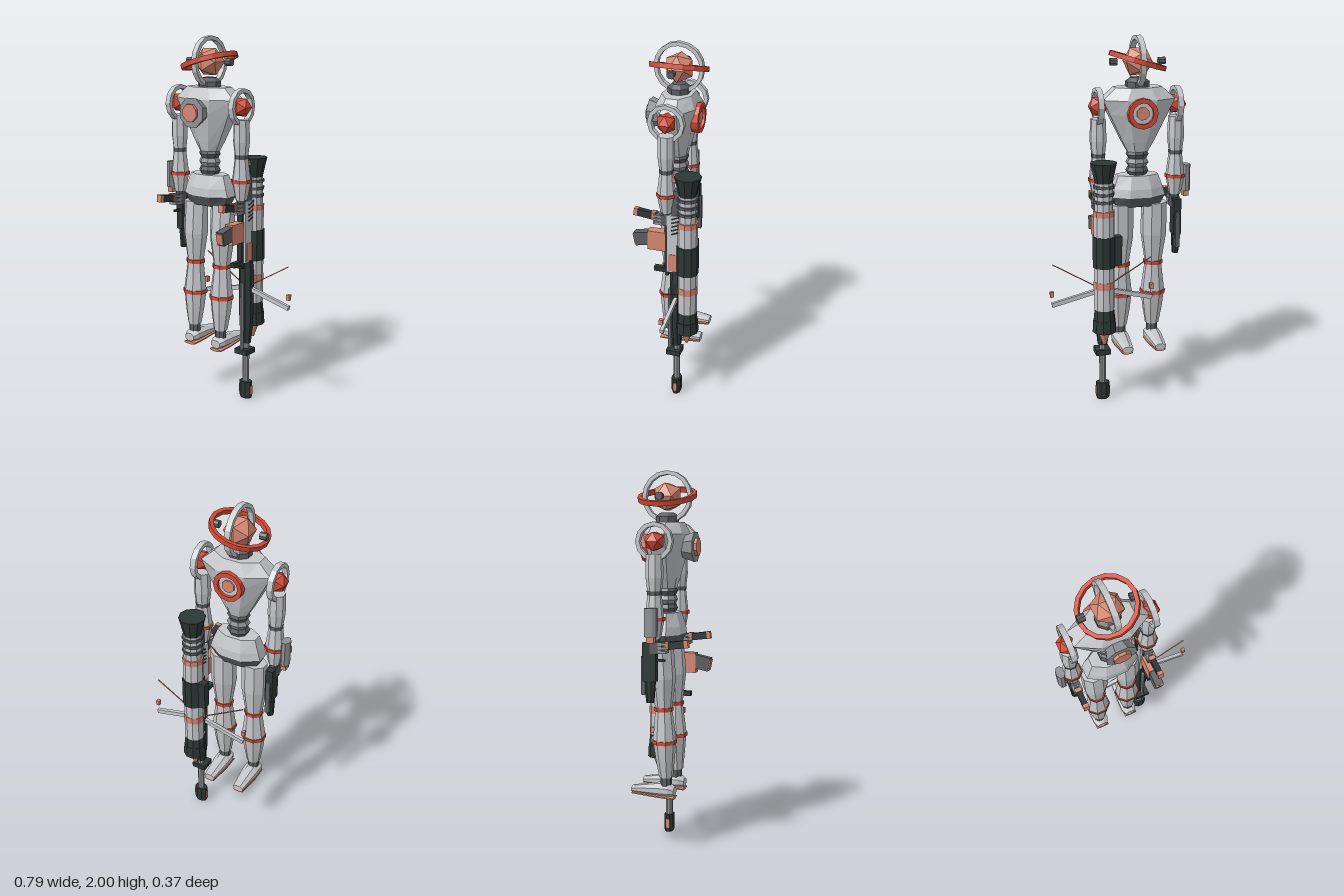
import * as THREE from 'three';

const mat = (name, color) => {
  const m = new THREE.MeshStandardMaterial({ color });
  m.name = name;
  return m;
};

export function createModel() {
  const light = mat('light grey', 0xc5c7cb), mid = mat('mid grey', 0x8f9195), steel = mat('dark grey', 0x5a5d61);
  const dark = mat('gunmetal', 0x2d3735), red = mat('red', 0xd24b36), salmon = mat('salmon', 0xd68770);
  const root = new THREE.Group();

  // Adds a faceted mesh
  function add(name, geo, material, x = 0, y = 0, z = 0, parent = root) {
    const g = geo.index ? geo.toNonIndexed() : geo;
    g.computeVertexNormals();
    const m = new THREE.Mesh(g, material);
    m.name = name;
    m.position.set(x, y, z);
    parent.add(m);
    return m;
  }
  const group = (name, x = 0, y = 0, z = 0) => {
    const g = new THREE.Group();
    g.name = name;
    g.position.set(x, y, z);
    root.add(g);
    return g;
  };
  const box = (w, h, d) => new THREE.BoxGeometry(w, h, d);
  const cyl = (rt, rb, h, n = 8) => new THREE.CylinderGeometry(rt, rb, h, n, 1, false, Math.PI / n);
  const ico = (r) => new THREE.IcosahedronGeometry(r, 0);
  // Flat band around the y axis
  const band = (ro, ri, h, n = 16) => new THREE.LatheGeometry(
    [[ro, -h], [ro, h], [ri, h], [ri, -h], [ro, -h]].map(([r, y]) => new THREE.Vector2(r, y / 2)), n);
  // Octagonal loft through rings of [y, half width, half depth, z offset], y rising
  function loft(rings, n = 8) {
    const k = rings.length - 1, g = new THREE.CylinderGeometry(1, 1, 1, n, k, false, Math.PI / n);
    const p = g.attributes.position, s = 1 / Math.cos(Math.PI / n);
    for (let i = 0; i < p.count; i++) {
      const [y, w, d, o = 0] = rings[Math.round((p.getY(i) + 0.5) * k)];
      p.setXYZ(i, p.getX(i) * w * s, y, p.getZ(i) * d * s + o);
    }
    return g;
  }

  const cx = -0.103;

  // Head: core, two crossing bands and side knobs
  const head = group('head', cx, 1.867, 0);
  add('headCore', ico(0.082), salmon, 0, 0, 0, head);
  add('headArch', band(0.134, 0.113, 0.03).rotateZ(Math.PI / 2), light, 0, 0, 0, head);
  add('headHalo', band(0.155, 0.134, 0.026).rotateZ(0.29), red, 0, 0.003, 0, head);
  for (const s of [-1, 1]) add('headKnob', cyl(0.02, 0.02, 0.037).rotateZ(Math.PI / 2), steel, s * 0.13, 0, 0, head);

  // Neck, torso, waist, pelvis
  add('neck', loft([[1.72, 0.06, 0.055], [1.765, 0.06, 0.055], [1.785, 0.035, 0.035]]), steel, cx);
  add('torso', loft([[1.395, 0.055, 0.045], [1.45, 0.085, 0.06], [1.6, 0.158, 0.095], [1.675, 0.193, 0.105], [1.737, 0.125, 0.078]]), light, cx);
  for (let i = 0; i < 3; i++) {
    const y = 1.38 - i * 0.045;
    add('waistRing', loft([[y - 0.022, 0.045, 0.04], [y, 0.058, 0.05], [y + 0.022, 0.048, 0.042]]), i === 1 ? mid : steel, cx);
  }
  add('pelvis', loft([[1.155, 0.148, 0.088], [1.2, 0.135, 0.085], [1.27, 0.11, 0.062]]), light, cx);
  add('pelvisBase', loft([[1.1, 0.12, 0.06], [1.155, 0.147, 0.087]]), steel, cx);

  // Chest lamp and back vent
  add('chestHousing', cyl(0.083, 0.06, 0.065).rotateX(Math.PI / 2), mid, cx, 1.61, 0.122);
  add('chestLamp', cyl(0.048, 0.048, 0.02).rotateX(Math.PI / 2), salmon, cx, 1.61, 0.16);
  add('backRing', band(0.08, 0.056, 0.04, 12).rotateX(Math.PI / 2), red, cx, 1.61, -0.105);
  add('backPlate', cyl(0.058, 0.058, 0.03).rotateX(Math.PI / 2), light, cx, 1.61, -0.095);
  add('backLamp', cyl(0.035, 0.035, 0.02).rotateX(Math.PI / 2), salmon, cx, 1.61, -0.108);

  // Legs
  for (const x of [-0.2, -0.013]) {
    const leg = group(x < cx ? 'rightLeg' : 'leftLeg', x);
    const part = (n, rings, m) => add(n, loft(rings), m, 0, 0, 0, leg);
    part('thigh', [[0.775, 0.044, 0.042, 0.01], [0.93, 0.066, 0.06, 0.008], [1.11, 0.066, 0.055]], light);
    part('upperBand', [[0.757, 0.05, 0.048, 0.01], [0.777, 0.05, 0.048, 0.01]], red);
    part('knee', [[0.6, 0.062, 0.056, 0.015], [0.76, 0.043, 0.042, 0.01]], light);
    part('lowerBand', [[0.582, 0.066, 0.06, 0.015], [0.602, 0.066, 0.06, 0.015]], red);
    part('shin', [[0.4, 0.036, 0.034, 0.022], [0.5, 0.052, 0.046, 0.018], [0.585, 0.06, 0.055, 0.015]], light);
    part('ankle', [[0.35, 0.03, 0.028, 0.022], [0.4, 0.03, 0.028, 0.022]], steel);
    // Feet are lofted lengthwise, then laid down
    const flat = (n, rings, m) => add(n, loft(rings).rotateX(-Math.PI / 2), m, 0, 0, 0, leg);
    flat('foot', [[-0.07, 0.03, 0.022, 0.325], [-0.04, 0.044, 0.034, 0.331], [0.02, 0.044, 0.034, 0.331], [0.165, 0.03, 0.016, 0.324]], light);
    flat('sole', [[-0.07, 0.037, 0.008, 0.291], [0.02, 0.04, 0.008, 0.297], [0.163, 0.028, 0.008, 0.305]], salmon);
  }

  // Arms
  for (const x of [-0.316, 0.11]) {
    const arm = group(x < cx ? 'rightArm' : 'leftArm', x);
    const part = (n, rings, m) => add(n, loft(rings), m, 0, 0, 0, arm);
    add('shoulderCore', ico(0.055), red, 0, 1.64, 0, arm);
    add('shoulderRing', band(0.098, 0.076, 0.03, 12).rotateZ(Math.PI / 2), light, 0, 1.64, 0, arm);
    part('upperArm', [[1.39, 0.034, 0.034], [1.46, 0.042, 0.042], [1.575, 0.038, 0.04]], light);
    part('elbow', [[1.37, 0.034, 0.034], [1.392, 0.036, 0.036]], steel);
    part('forearm', [[1.15, 0.03, 0.03], [1.25, 0.048, 0.046], [1.37, 0.034, 0.034]], light);
    part('forearmBand', [[1.242, 0.052, 0.05], [1.26, 0.052, 0.05]], red);
    part('wrist', [[1.125, 0.022, 0.022], [1.15, 0.025, 0.025]], steel);
    add('palm', box(0.044, 0.06, 0.06), steel, 0, 1.105, 0.01, arm);
    for (let i = 0; i < 3; i++) add('finger', box(0.05, 0.014, 0.045), mid, 0, 1.125 - i * 0.02, 0.045, arm);
    add('knuckle', box(0.038, 0.04, 0.02), salmon, 0, 1.12, 0.068, arm);
    // Gun grip held in the hand
    add('grip', box(0.03, 0.038, 0.15), dark, 0, 1.118, 0.085, arm).rotation.x = -0.13;
    add('gripCap', box(0.031, 0.04, 0.02), salmon, 0, 1.129, 0.169, arm).rotation.x = -0.13;
  }
  add('forearmPod', loft([[1.165, 0.022, 0.032], [1.31, 0.022, 0.032]]), mid, -0.377, 0, 0);
  add('forearmPodTip', box(0.03, 0.03, 0.04), salmon, -0.375, 1.15, 0);

  // Pistol pointing down from the right hand
  const pistol = group('pistol', -0.316, 0, -0.025);
  add('pistolBody', box(0.042, 0.2, 0.07), dark, 0, 1.03, 0, pistol);
  add('pistolBarrel', loft([[0.82, 0.017, 0.02], [0.95, 0.021, 0.03]]), dark, 0, 0, 0, pistol);
  add('pistolSlide', box(0.025, 0.2, 0.02), steel, 0, 0.96, -0.035, pistol);
  add('triggerGuard', box(0.012, 0.012, 0.05), dark, 0, 1.04, 0.055, pistol);

  // Rifle pointing down from the left hand
  const rifle = group('rifle', 0.105, 0, -0.057);
  const rp = (n, g, m, y, z = 0, x = 0) => add(n, g, m, x, y, z, rifle);
  rp('muzzle', loft([[0, 0.032, 0.022], [0.015, 0.037, 0.026], [0.1, 0.036, 0.026]]), dark, 0);
  for (const s of [-1, 1]) rp('muzzlePort', box(0.006, 0.05, 0.022), salmon, 0.05, 0, s * 0.036);
  rp('barrel', cyl(0.019, 0.019, 0.4), mid, 0.29);
  rp('barrelClamp', box(0.082, 0.03, 0.08), dark, 0.285, 0.012);
  rp('handguard', loft([[0.33, 0.026, 0.024], [0.45, 0.038, 0.032], [0.74, 0.04, 0.036], [0.82, 0.03, 0.036]]), dark, 0);
  rp('gasTube', cyl(0.011, 0.011, 0.4), mid, 0.48, 0.04);
  rp('foregrip', box(0.03, 0.026, 0.085), dark, 0.8, 0.085);
  rp('receiver', box(0.058, 0.34, 0.09), light, 0.97, 0.005);
  rp('receiverPanel', box(0.064, 0.1, 0.07), salmon, 0.86, 0.005);
  rp('receiverRail', box(0.03, 0.36, 0.02), dark, 0.95, 0.055);
  for (let i = 0; i < 5; i++) rp('coolingSlot', box(0.063, 0.008, 0.05), dark, 1.04 + i * 0.022).rotation.x = 0.4;
  rp('stock', box(0.044, 0.16, 0.05), steel, 1.2);
  rp('magazine', box(0.05, 0.11, 0.1), salmon, 0.975, 0.108);
  rp('magazineEnd', box(0.046, 0.075, 0.085), steel, 0.975, 0.192).rotation.x = 0.2;
  rp('magazineTip', box(0.04, 0.06, 0.012), salmon, 0.967, 0.233).rotation.x = 0.2;

  // Unfolded struts on both sides of the rifle
  for (const s of [-1, 1]) {
    rp('strut', box(0.25, 0.024, 0.02), light, 0.613, -0.004, s * 0.158).rotation.z = -s * 0.235;
    rp('strutFoot', box(0.02, 0.03, 0.02), salmon, 0.645, -0.002, s * 0.278);
    rp('strutWire', box(0.28, 0.005, 0.005), salmon, 0.74, -0.002, s * 0.152).rotation.z = s * 0.54;
  }

  // Launcher tube hanging behind the rifle: [name, bottom, top, bottom radius, top radius, colour]
  const tube = group('launcher', 0.107, 0, -0.115);
  [
    ['warhead', 0.35, 0.44, 0.008, 0.04, salmon], ['endCap', 0.43, 0.5, 0.066, 0.062, dark],
    ['endCollar', 0.5, 0.56, 0.06, 0.054, dark], ['lowerTube', 0.56, 0.68, 0.056, 0.056, light],
    ['lowerBand', 0.68, 0.72, 0.058, 0.058, salmon], ['middleTube', 0.72, 0.8, 0.056, 0.056, light],
    ['sleeve', 0.8, 0.97, 0.062, 0.062, dark], ['upperTube', 0.97, 1.08, 0.056, 0.056, light],
    ['upperBand', 1.08, 1.11, 0.058, 0.058, salmon], ['neckTube', 1.11, 1.26, 0.05, 0.05, light],
    ['flare', 1.26, 1.365, 0.048, 0.072, dark],
  ].forEach(([n, a, b, rb, rt, m]) => add(n, cyl(rt, rb, b - a, 10), m, 0, (a + b) / 2, 0, tube));
  for (let i = 0; i < 3; i++) add('neckRib', cyl(0.057, 0.057, 0.016, 10), steel, 0, 1.16 + i * 0.04, 0, tube);
  add('flareTab', box(0.048, 0.03, 0.045), salmon, 0, 1.345, 0.055, tube);
  add('sight', box(0.04, 0.16, 0.045), dark, -0.07, 0.89, -0.015, tube);
  add('tubeMount', box(0.03, 0.1, 0.05), dark, 0, 0.88, 0.05, tube);

  return root;
}
